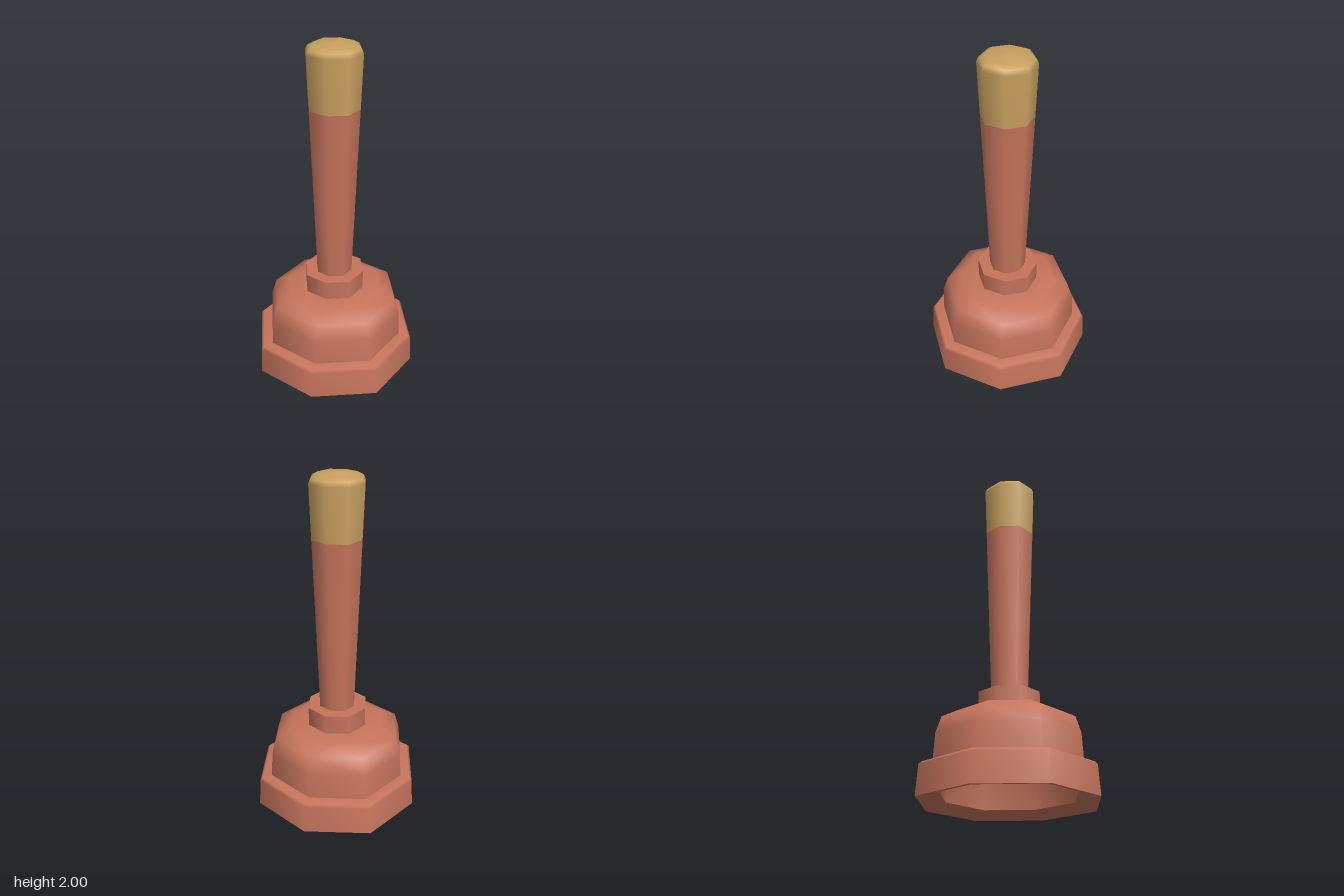
import * as THREE from 'three';

export function createModel() {
  const model = new THREE.Group();
  const rubber = new THREE.MeshStandardMaterial({ color: 0xc6745c });
  rubber.name = 'terracotta';
  const tan = new THREE.MeshStandardMaterial({ color: 0xc8a05f });
  tan.name = 'tan';

  // Eight-sided turned part; diagonal corners sit slightly further out.
  function turned(name, profile, material, parent) {
    const geometry = new THREE.LatheGeometry(profile.map(([r, y]) => new THREE.Vector2(r, y)), 8);
    const p = geometry.attributes.position;
    for (let i = 0; i < p.count; i++) {
      const x = p.getX(i), z = p.getZ(i);
      if (Math.abs(x * z) > 1e-6) p.setXYZ(i, x * 1.03, p.getY(i), z * 1.03);
    }
    const mesh = new THREE.Mesh(geometry, material);
    mesh.name = name;
    parent.add(mesh);
  }

  // Hollow rubber cup, one mesh per smooth band so the edges between stay sharp
  const cup = new THREE.Group();
  cup.name = 'cup';
  model.add(cup);
  turned('cupInside', [[0, 0.43], [0.2, 0.425], [0.3, 0.39], [0.35, 0.3], [0.38, 0.04]], rubber, cup);
  turned('rimUnderside', [[0.38, 0.04], [0.47, 0.003], [0.5, 0]], rubber, cup);
  turned('rim', [[0.5, 0], [0.49, 0.165], [0.475, 0.18], [0.418, 0.185]], rubber, cup);
  turned('dome', [[0.418, 0.185], [0.41, 0.34], [0.38, 0.435], [0.29, 0.482], [0.18, 0.487]], rubber, cup);

  // Collar holding the handle
  const collar = new THREE.Group();
  collar.name = 'collar';
  model.add(collar);
  turned('collarSide', [[0.18, 0.485], [0.18, 0.603]], rubber, collar);
  turned('collarTop', [[0.18, 0.603], [0.1, 0.603]], rubber, collar);

  // Tapered handle with a rounded grip
  turned('handle', [[0.108, 0.6], [0.148, 1.64]], rubber, model);
  turned('grip', [[0.148, 1.64], [0.16, 1.945], [0.148, 1.97], [0.115, 1.988], [0, 2]], tan, model);

  return model;
}
